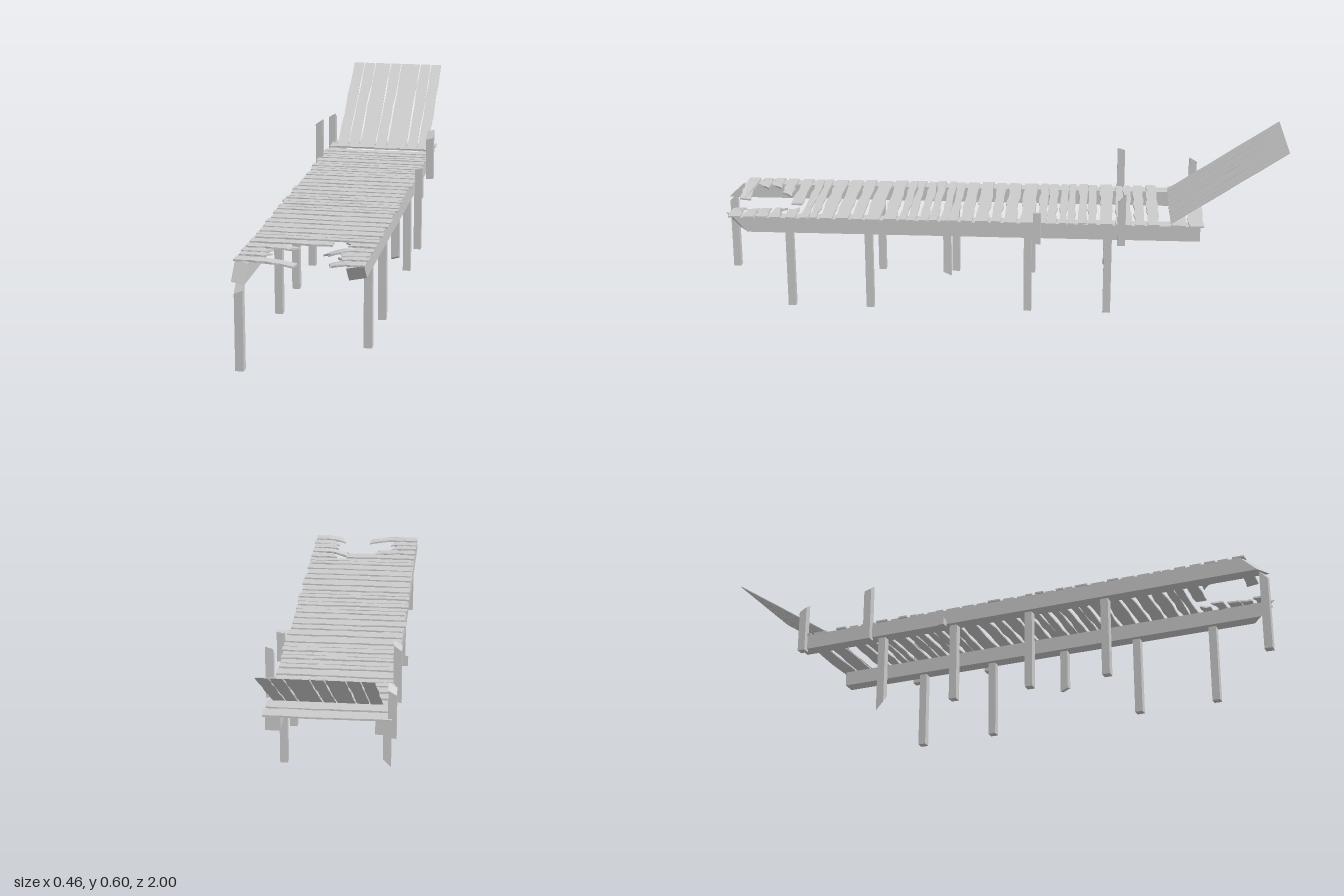
import * as THREE from 'three';

const mat = new THREE.MeshStandardMaterial({ color: 0xcccccc, flatShading: true });
const DECK = 0.33, BEAM_BOTTOM = 0.277;

let seed = 11;
const rnd = () => ((seed = (seed * 16807) % 2147483647) / 2147483647) * 2 - 1;

function add(parent, name, geometry) {
  const mesh = new THREE.Mesh(geometry, mat);
  mesh.name = name;
  parent.add(mesh);
  return mesh;
}

// Move every vertex of a geometry by a rule
function reshape(geometry, rule) {
  const p = geometry.attributes.position, v = new THREE.Vector3();
  for (let i = 0; i < p.count; i++) {
    v.fromBufferAttribute(p, i);
    rule(v);
    p.setXYZ(i, v.x, v.y, v.z);
  }
  geometry.computeVertexNormals();
  return geometry;
}

// Weathered board: u0..u1 is its length, v0..v1 its width, edges slightly wavy
function boardGeometry(u0, u1, v0, v1, wave, thick, jag = 0) {
  const n = 8, low = [], high = [];
  for (let i = 0; i <= n; i++) {
    const u = u0 + (u1 - u0) * i / n;
    const w = i % n ? wave : wave * 0.3;
    low.push(new THREE.Vector2(u, v0 + rnd() * w));
    high.push(new THREE.Vector2(u, v1 + rnd() * w));
  }
  // splintered free end at u1
  if (jag) {
    low[n].x -= jag;
    high.push(new THREE.Vector2(u1 - jag * 0.8, v0 + (v1 - v0) * 0.4));
  }
  return new THREE.ExtrudeGeometry(new THREE.Shape([...low, ...high.reverse()]),
    { depth: thick, bevelEnabled: false });
}

// Square timber with sloped cuts: top and bottom tilt by (x, z)
function timber(parent, name, x, z, y0, y1, top = [0, 0], bottom = [0, 0], size = 0.027) {
  const h = size / 2;
  const g = reshape(new THREE.BoxGeometry(size, 1, size), (v) => {
    const [sx, sz] = v.y > 0 ? top : bottom;
    v.y = (v.y > 0 ? y1 : y0) + (sx * v.x + sz * v.z) / h;
    v.x += x;
    v.z += z;
  });
  return add(parent, name, g);
}

// Long beam whose front end is given per corner
function beam(parent, name, x0, x1, front) {
  const g = reshape(new THREE.BoxGeometry(1, 1, 1), (v) => {
    const right = v.x > 0, up = v.y > 0;
    v.z = v.z > 0 ? front(right, up) : -0.71;
    v.x = right ? x1 : x0;
    v.y = up ? DECK : BEAM_BOTTOM;
  });
  add(parent, name, g);
}

export function createModel() {
  const root = new THREE.Group();
  root.name = 'brokenPier';
  const group = (name) => {
    const g = new THREE.Group();
    g.name = name;
    root.add(g);
    return g;
  };

  // Side beams, each snapped off at the front
  const beams = group('beams');
  beam(beams, 'leftBeam', 0.146, 0.195, (r, up) => (up ? 0.945 : 0.895) - (r ? 0.035 : 0));
  beam(beams, 'rightBeam', -0.205, -0.157, (r, up) => (up ? 0.915 : 0.97) + (r ? 0.03 : 0));

  // Legs: one broken short, one missing, one with a slanted foot
  const legs = group('legs');
  [0.715, 0.437, 0.162, -0.118, -0.395].forEach((z, i) => {
    const broken = i === 2;
    timber(legs, 'leftLeg', 0.176, z, broken ? 0.13 : 0, BEAM_BOTTOM + 0.005, [0, 0], broken ? [0.004, 0.006] : [0, 0]);
    if (i === 0) return;
    const slanted = i === 4;
    timber(legs, 'rightLeg', -0.176, z, slanted ? 0.03 : 0, BEAM_BOTTOM + 0.005, [0, 0], slanted ? [0.015, 0.015] : [0, 0]);
  });
  timber(legs, 'frontLeg', -0.176, 0.985, 0, 0.268, [0.006, -0.014]);

  // Posts bolted to the outside of the beams
  const posts = group('posts');
  timber(posts, 'leftPost', 0.214, -0.15, 0.267, 0.377, [0.003, 0]);
  timber(posts, 'leftPost', 0.214, -0.44, 0.267, 0.436, [0.004, -0.013]);
  timber(posts, 'rightPost', -0.211, -0.7, 0.267, 0.435, [0.008, 0.008]);
  timber(posts, 'rightPost', -0.211, -0.44, 0.267, 0.468, [0.01, 0.004]);
  timber(posts, 'brokenPost', -0.217, -0.15, 0.267, 0.298, [-0.002, -0.006], [0, 0], 0.025);

  // Deck planks lie between successive seams
  const deck = group('deck');
  const plank = (name, u0, u1, z0, z1, jag = 0, sag = 0) => {
    const g = boardGeometry(u0, u1, -z1, -z0, 0.0035, 0.006, jag);
    g.rotateX(-Math.PI / 2);
    const reach = Math.abs(u1) < 0.14 ? 0.15 - Math.abs(u1) : 1;
    add(deck, name, reshape(g, (v) => {
      const t = Math.max(0, 0.15 - Math.abs(v.x)) / reach;
      v.y += DECK - sag * t * t;
    }));
  };
  const seams = [-0.575, -0.525, -0.48, -0.415, -0.36, -0.285, -0.22, -0.145, -0.085, -0.03, 0.015,
    0.07, 0.12, 0.19, 0.265, 0.335, 0.39, 0.45, 0.5, 0.555, 0.61, 0.68];
  for (let i = 0; i + 1 < seams.length; i++) {
    const a = seams[i] + 0.006, b = seams[i + 1] - 0.006;
    const ends = () => [-0.206 + rnd() * 0.006, 0.199 + rnd() * 0.005];
    if (b - a > 0.052) {
      const m = (a + b) / 2;
      plank('deckPlank', ...ends(), a, m - 0.002);
      plank('deckPlank', ...ends(), m + 0.002, b);
    } else plank('deckPlank', ...ends(), a, b);
  }
  plank('rearPlank', -0.21, 0.203, -0.722, -0.672);
  plank('rearPlank', -0.206, 0.2, -0.66, -0.61);

  // Broken planks at the front: [outer x, free end x, z from, z to, splinter, sag]
  [
    [-0.205, 0.062, 0.69, 0.728, 0, 0],
    [-0.205, -0.035, 0.745, 0.782, 0.03, 0.008],
    [-0.207, -0.11, 0.795, 0.83, 0.02, 0.003],
    [-0.204, -0.105, 0.84, 0.872, 0.02, 0.003],
    [-0.207, -0.015, 0.89, 0.93, 0.006, 0.015],
    [0.2, 0.1, 0.69, 0.725, -0.025, 0],
    [0.2, 0.038, 0.745, 0.78, -0.03, 0.027],
    [0.197, 0.1, 0.79, 0.83, -0.01, 0.004],
    [0.202, 0.1, 0.835, 0.872, -0.02, 0.006],
    [0.2, 0.082, 0.885, 0.925, -0.01, 0.012],
  ].forEach((p) => plank('brokenPlank', ...p));

  // Raised ramp at the back, made of lengthwise boards
  const ramp = group('ramp');
  const rise = 0.264, run = 0.39;
  const edges = [-0.178, -0.133, -0.089, -0.025, 0.018, 0.097, 0.14, 0.184];
  for (let i = 0; i + 1 < edges.length; i++) {
    const g = boardGeometry(0, Math.hypot(rise, run), -edges[i + 1] + 0.0025, -edges[i] - 0.0025, 0.0022, 0.003);
    g.rotateZ(Math.PI / 2);
    g.rotateX(Math.atan2(rise, run) - Math.PI / 2);
    g.translate(0, 0.334, -0.61);
    add(ramp, 'rampBoard', g);
  }
  return root;
}
